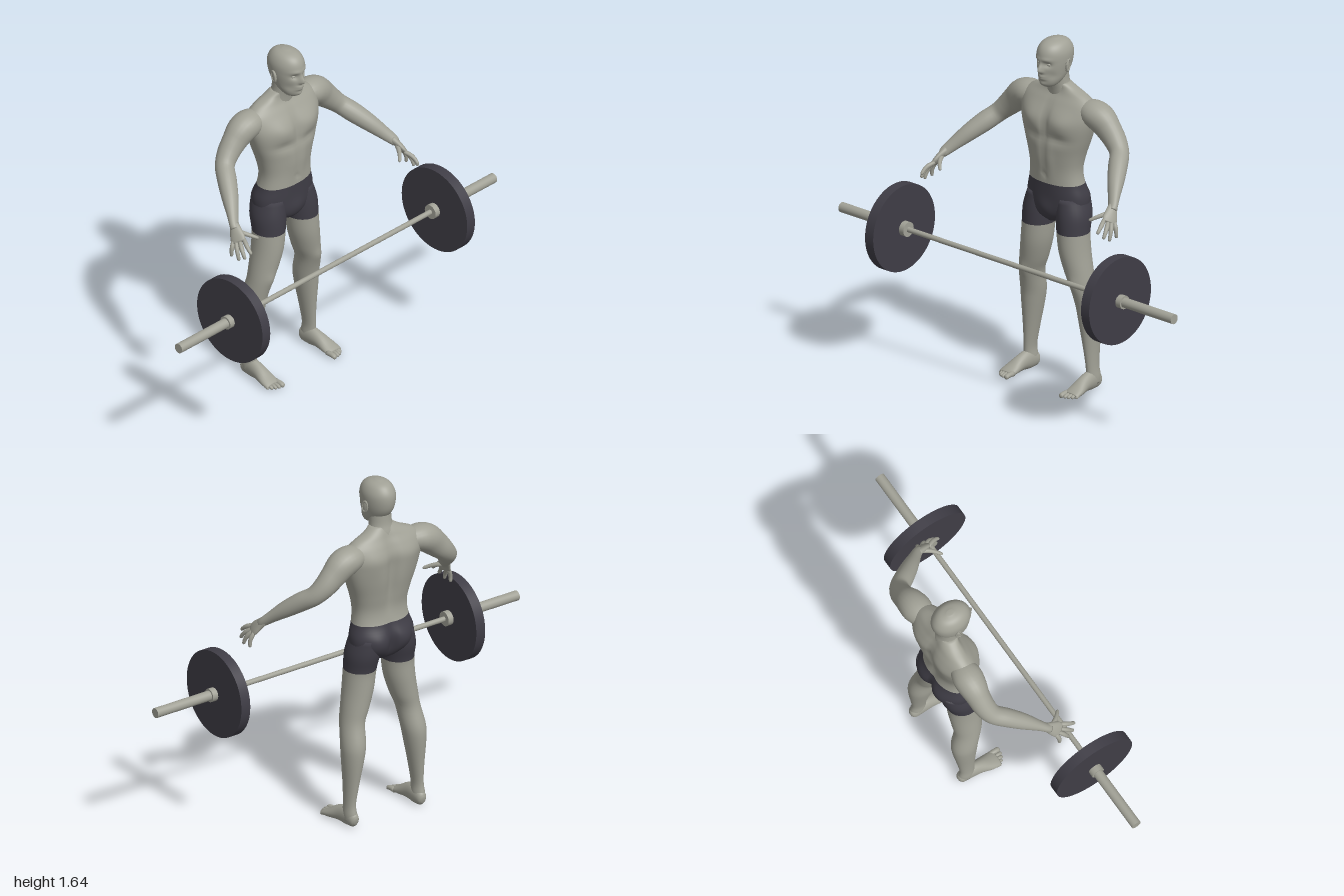
import * as THREE from 'three';

const skin = new THREE.MeshStandardMaterial({ color: 0xa1a196 });
skin.name = 'skin';
const cloth = new THREE.MeshStandardMaterial({ color: 0x3f3d46 });
cloth.name = 'shortsCloth';
const steel = new THREE.MeshStandardMaterial({ color: 0xa1a196 });
steel.name = 'steel';
const rubber = new THREE.MeshStandardMaterial({ color: 0x3f3d46 });
rubber.name = 'rubber';

// Smooth bump of height 1 at the centre
const bump = (d, width) => Math.exp(-((d / width) ** 2));

// Closed skin over oval rings [x, y, z, a, b]; 'a' runs along ref, 'b' across it.
// split: ring number where the second material begins.
function loft(name, rings, ref, { side = 1, n = 24, rows = 4, level = false, pow = 1, sculpt, mats = [skin], split = 0 } = {}) {
  const path = new THREE.CatmullRomCurve3(rings.map(r => new THREE.Vector3(r[0] * side, r[1], r[2])), false, 'catmullrom');
  const size = new THREE.CatmullRomCurve3(rings.map(r => new THREE.Vector3(r[3], r[4], 0)), false, 'catmullrom');
  const m = (rings.length - 1) * rows;
  const pos = [], index = [];
  const bend = c => Math.sign(c) * Math.abs(c) ** pow;
  const R = new THREE.Vector3(ref[0] * side, ref[1], ref[2]);
  const add = p => { if (sculpt) sculpt(p); pos.push(p.x, p.y, p.z); };
  for (let i = 0; i <= m; i++) {
    const p = path.getPoint(i / m), s = size.getPoint(i / m);
    const T = level ? new THREE.Vector3(0, Math.sign(rings.at(-1)[1] - rings[0][1]), 0) : path.getTangent(i / m);
    const U = R.clone().addScaledVector(T, -R.dot(T)).normalize();
    const V = T.clone().cross(U);
    for (let j = 0; j < n; j++) {
      const t = j / n * Math.PI * 2;
      add(p.clone().addScaledVector(U, s.x * bend(Math.cos(t))).addScaledVector(V, s.y * bend(Math.sin(t))));
    }
  }
  add(path.getPoint(0));
  add(path.getPoint(1));
  const first = (m + 1) * n, last = first + 1;
  for (let j = 0; j < n; j++) index.push(first, (j + 1) % n, j);
  let cut = 0;
  for (let i = 0; i < m; i++) {
    if (i === split * rows) cut = index.length;
    for (let j = 0; j < n; j++) {
      const a = i * n + j, b = i * n + (j + 1) % n;
      index.push(a, b, a + n, b, b + n, a + n);
    }
  }
  for (let j = 0; j < n; j++) index.push(last, m * n + j, m * n + (j + 1) % n);
  const g = new THREE.BufferGeometry();
  g.setAttribute('position', new THREE.Float32BufferAttribute(pos, 3));
  g.setIndex(index);
  g.computeVertexNormals();
  if (mats.length > 1) {
    g.addGroup(0, cut, 0);
    g.addGroup(cut, index.length - cut, 1);
  }
  const mesh = new THREE.Mesh(g, mats.length > 1 ? mats : mats[0]);
  mesh.name = name;
  return mesh;
}

// Chest, belly, spine and seat relief
function sculptTorso(p) {
  const x = Math.abs(p.x), y = p.y;
  if (p.z > -0.2) {
    p.z += 0.016 * bump(x - 0.085, 0.065) * bump(y - 1.265, 0.05);
    p.z -= 0.012 * bump(x, 0.016) * bump(y - 1.24, 0.09);
    p.z -= 0.01 * bump(x - 0.07, 0.06) * bump(y - 1.185, 0.022);
    p.z += 0.006 * bump(x - 0.03, 0.024) * bump(y - 1.08, 0.08);
    p.z -= 0.006 * bump(x, 0.009) * bump(y - 1.005, 0.012);
    p.z += 0.008 * bump(x, 0.04) * bump(y - 0.84, 0.04);
  } else {
    p.z += 0.024 * bump(x, 0.026) * bump(y - 1.2, 0.17);
    p.z -= 0.008 * bump(x - 0.1, 0.05) * bump(y - 1.28, 0.07);
    p.z -= 0.014 * bump(x - 0.075, 0.05) * bump(y - 0.87, 0.055);
    p.z += 0.022 * bump(x, 0.018) * bump(y - 0.86, 0.07);
  }
}

// Nose, brow, eye sockets, lips and chin
function sculptFace(p) {
  if (p.z < -0.16) return;
  const x = Math.abs(p.x), y = p.y;
  const ridge = y > 1.506 ? bump(y - 1.506, 0.03) : bump(y - 1.506, 0.011);
  p.z += 0.023 * ridge * bump(x, 0.011 + 0.1 * Math.max(0, 1.515 - y));
  p.z -= 0.012 * bump(x - 0.028, 0.016) * bump(y - 1.535, 0.013);
  p.z += 0.005 * bump(x - 0.025, 0.025) * bump(y - 1.558, 0.01);
  p.z += 0.008 * bump(x, 0.02) * (bump(y - 1.479, 0.006) + bump(y - 1.467, 0.006));
  p.z += 0.007 * bump(x, 0.02) * bump(y - 1.44, 0.012);
  p.z -= 0.006 * bump(x - 0.045, 0.016) * bump(y - 1.48, 0.02);
}

function ball(name, x, y, z, sx, sy, sz) {
  const mesh = new THREE.Mesh(new THREE.SphereGeometry(1, 16, 12).scale(sx, sy, sz), skin);
  mesh.position.set(x, y, z);
  mesh.name = name;
  return mesh;
}

function buildHead() {
  const head = new THREE.Group();
  head.name = 'head';
  head.add(loft('neck', [
    [0, 1.35, -0.225, 0.075, 0.05], [0, 1.40, -0.218, 0.062, 0.05],
    [0, 1.44, -0.208, 0.053, 0.05], [0, 1.50, -0.20, 0.052, 0.055],
  ], [1, 0, 0], { level: true }));
  head.add(loft('skull', [
    [0, 1.422, -0.148, 0.022, 0.024], [0, 1.434, -0.153, 0.04, 0.042], [0, 1.46, -0.168, 0.055, 0.067],
    [0, 1.50, -0.183, 0.065, 0.086], [0, 1.54, -0.189, 0.071, 0.094], [0, 1.58, -0.19, 0.071, 0.094],
    [0, 1.61, -0.19, 0.06, 0.08], [0, 1.629, -0.192, 0.041, 0.055], [0, 1.639, -0.193, 0.012, 0.016],
  ], [1, 0, 0], { level: true, n: 80, rows: 8, sculpt: sculptFace }));
  for (const s of [-1, 1]) {
    head.add(ball('eye', s * 0.028, 1.535, -0.119, 0.012, 0.007, 0.01));
    const ear = ball('ear', s * 0.071, 1.522, -0.193, 0.007, 0.03, 0.017);
    ear.rotation.set(-0.15, s * 0.25, 0);
    const rim = new THREE.Mesh(new THREE.TorusGeometry(0.016, 0.004, 8, 20).rotateY(Math.PI / 2).scale(1, 1.6, 0.9), skin);
    rim.name = 'earRim';
    rim.position.set(s * 0.075, 1.523, -0.195);
    rim.rotation.copy(ear.rotation);
    head.add(ear, rim);
  }
  return head;
}

function buildArm(side) {
  const arm = new THREE.Group();
  arm.name = side > 0 ? 'leftArm' : 'rightArm';
  arm.add(loft('armLimb', [
    [0.12, 1.315, -0.235, 0.045, 0.045], [0.185, 1.315, -0.235, 0.068, 0.06], [0.235, 1.297, -0.237, 0.066, 0.066],
    [0.28, 1.258, -0.237, 0.055, 0.06], [0.325, 1.215, -0.232, 0.05, 0.051], [0.365, 1.175, -0.213, 0.044, 0.044],
    [0.40, 1.138, -0.165, 0.043, 0.045], [0.442, 1.09, -0.105, 0.037, 0.039], [0.48, 1.043, -0.052, 0.025, 0.03],
    [0.502, 1.015, -0.022, 0.02, 0.025], [0.51, 1.0, -0.006, 0.02, 0.02],
  ], [0, 0, 1], { side }));
  arm.add(loft('palm', [
    [0.50, 1.018, -0.025, 0.02, 0.018], [0.512, 0.995, 0, 0.029, 0.016],
    [0.522, 0.972, 0.02, 0.036, 0.014], [0.529, 0.957, 0.034, 0.032, 0.01],
  ], [-0.4, 0.35, 0.85], { side }));
  // Each digit: base, then tip
  const digits = {
    thumb: [[0.503, 0.99, 0.002], [0.448, 0.962, 0.078]],
    indexFinger: [[0.512, 0.968, 0.052], [0.53, 0.928, 0.113]],
    middleFinger: [[0.526, 0.957, 0.04], [0.549, 0.903, 0.093]],
    ringFinger: [[0.535, 0.95, 0.026], [0.556, 0.886, 0.062]],
    littleFinger: [[0.538, 0.948, 0.008], [0.555, 0.888, 0.014]],
  };
  for (const [name, [a, b]] of Object.entries(digits)) {
    const at = (t, r, lift) => [...a.map((v, k) => v + (b[k] - v) * t + [0.6, 0.5, 0.3][k] * lift), r, r];
    arm.add(loft(name, [at(-0.1, 0.009, 0), at(0.3, 0.0105, 0.009), at(0.65, 0.009, 0.008), at(0.92, 0.0075, 0.001), at(1, 0.003, -0.001)],
      [-0.4, 0.35, 0.85], { side, n: 12, rows: 3 }));
  }
  return arm;
}

function buildLeg(side) {
  const leg = new THREE.Group();
  leg.name = side > 0 ? 'leftLeg' : 'rightLeg';
  leg.add(loft('legLimb', [
    [0.085, 0.90, -0.215, 0.068, 0.085], [0.098, 0.82, -0.207, 0.077, 0.088], [0.104, 0.74, -0.196, 0.073, 0.079],
    [0.114, 0.65, -0.195, 0.07, 0.077], [0.134, 0.56, -0.199, 0.063, 0.07], [0.153, 0.49, -0.205, 0.054, 0.064],
    [0.165, 0.40, -0.228, 0.055, 0.064], [0.171, 0.33, -0.233, 0.049, 0.06], [0.18, 0.20, -0.232, 0.032, 0.045],
    [0.187, 0.11, -0.231, 0.024, 0.037], [0.188, 0.06, -0.235, 0.027, 0.04], [0.188, 0.03, -0.235, 0.026, 0.038],
  ], [1, 0, 0], {
    side, n: 32, level: true, mats: [cloth, skin], split: 2,
    // Kneecap
    sculpt: p => { if (p.z > -0.19) p.z += 0.007 * bump(Math.abs(p.x) - 0.15, 0.025) * bump(p.y - 0.51, 0.03); },
  }));
  const ground = p => { p.y = Math.max(p.y, 0.002); };
  leg.add(loft('foot', [
    [0.186, 0.032, -0.279, 0.01, 0.014], [0.186, 0.035, -0.265, 0.024, 0.033], [0.187, 0.045, -0.22, 0.029, 0.046],
    [0.19, 0.04, -0.17, 0.032, 0.037], [0.194, 0.025, -0.12, 0.04, 0.024], [0.195, 0.017, -0.09, 0.041, 0.016],
    [0.195, 0.014, -0.076, 0.037, 0.011],
  ], [1, 0, 0], { side, sculpt: ground }));
  for (let i = 0; i < 5; i++) {
    const x = 0.165 + [0, 0.021, 0.037, 0.051, 0.063][i], tip = -0.042 - 0.002 * i * i, r = i ? 0.0085 : 0.0125;
    leg.add(loft('toe', [
      [x, 0.016, -0.095, r, r], [x, 0.016, tip - 0.02, r, r * 0.9], [x, 0.011, tip - 0.005, r * 0.9, r * 0.8], [x, 0.01, tip, r * 0.4, r * 0.4],
    ], [1, 0, 0], { side, n: 12, rows: 3, sculpt: ground }));
  }
  return leg;
}

function rod(name, x0, x1, r, mat, sides = 32) {
  const mesh = new THREE.Mesh(new THREE.CylinderGeometry(r, r, Math.abs(x1 - x0), sides).rotateZ(Math.PI / 2), mat);
  mesh.position.x = (x0 + x1) / 2;
  mesh.name = name;
  return mesh;
}

function buildBarbell() {
  const barbell = new THREE.Group();
  barbell.name = 'barbell';
  barbell.position.set(0, 0.65, 0.12);
  barbell.add(rod('grip', -0.61, 0.61, 0.012, steel));
  for (const s of [-1, 1]) {
    barbell.add(
      rod('innerCollar', s * 0.598, s * 0.626, 0.034, steel),
      rod('weightPlate', s * 0.625, s * 0.674, 0.203, rubber, 72),
      rod('outerCollar', s * 0.67, s * 0.702, 0.031, steel),
      rod('sleeve', s * 0.62, s, 0.023, steel),
    );
  }
  return barbell;
}

export function createModel() {
  const model = new THREE.Group();
  model.name = 'weightlifter';
  model.add(loft('torso', [
    [0, 0.775, -0.20, 0.03, 0.045], [0, 0.80, -0.204, 0.09, 0.072], [0, 0.84, -0.211, 0.15, 0.088],
    [0, 0.90, -0.214, 0.16, 0.094], [0, 0.965, -0.204, 0.142, 0.085], [0, 1.03, -0.20, 0.136, 0.082],
    [0, 1.10, -0.203, 0.15, 0.09], [0, 1.18, -0.208, 0.177, 0.099], [0, 1.25, -0.214, 0.198, 0.098],
    [0, 1.30, -0.222, 0.207, 0.091], [0, 1.345, -0.226, 0.20, 0.072], [0, 1.38, -0.228, 0.155, 0.053],
    [0, 1.405, -0.225, 0.098, 0.045], [0, 1.43, -0.215, 0.055, 0.042],
  ], [1, 0, 0], { level: true, n: 72, rows: 5, pow: 0.88, sculpt: sculptTorso, mats: [cloth, skin], split: 4 }));
  model.add(buildHead(), buildBarbell());
  for (const s of [-1, 1]) model.add(buildArm(s), buildLeg(s));
  return model;
}
